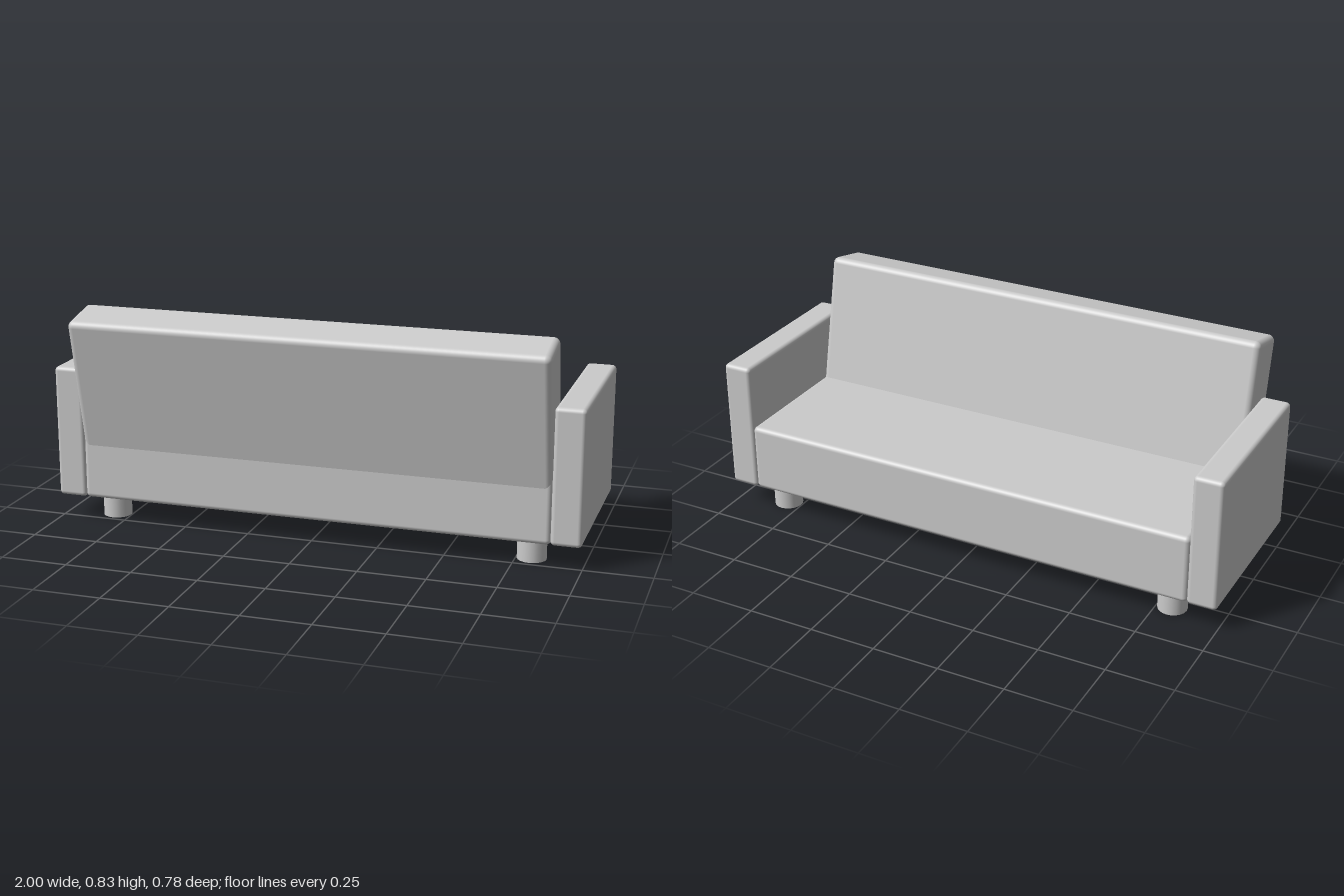
import * as THREE from 'three';
import { RoundedBoxGeometry } from 'three/addons/geometries/RoundedBoxGeometry.js';

export function createModel() {
  const sofa = new THREE.Group();
  sofa.name = 'sofa';
  const material = new THREE.MeshStandardMaterial({ color: 0xcccccc });

  const add = (name, geometry, x, y, z) => {
    const mesh = new THREE.Mesh(geometry, material);
    mesh.name = name;
    mesh.position.set(x, y, z);
    sofa.add(mesh);
    return mesh;
  };
  const cushion = (w, h, d, r) => new RoundedBoxGeometry(w, h, d, 4, r);

  const bottom = 0.09, midZ = -0.052, depth = 0.676;

  // Seat block between the arms
  const seatHeight = 0.26;
  add('seat', cushion(1.78, seatHeight, depth, 0.018), 0, bottom + seatHeight / 2, midZ);

  // Reclined backrest, its lower end sunk into the seat
  const tilt = 0.216, backLength = 0.55;
  const back = add('backrest', cushion(1.78, backLength, 0.184, 0.024), 0,
    0.81 - Math.cos(tilt) * backLength / 2, 0.304 - Math.sin(tilt) * backLength / 2);
  back.rotation.x = tilt;

  // Arms and legs, mirrored left and right
  const armGeometry = cushion(0.112, 0.502, depth, 0.016);
  const legGeometry = new THREE.CylinderGeometry(0.054, 0.054, 0.1, 20);
  for (const [side, s] of [['left', 1], ['right', -1]]) {
    add(side + 'Arm', armGeometry, s * 0.944, bottom + 0.251, midZ);
    add(side + 'BackLeg', legGeometry, s * 0.807, 0.05, 0.18);
    add(side + 'FrontLeg', legGeometry, s * 0.807, 0.05, -0.3);
  }
  return sofa;
}
